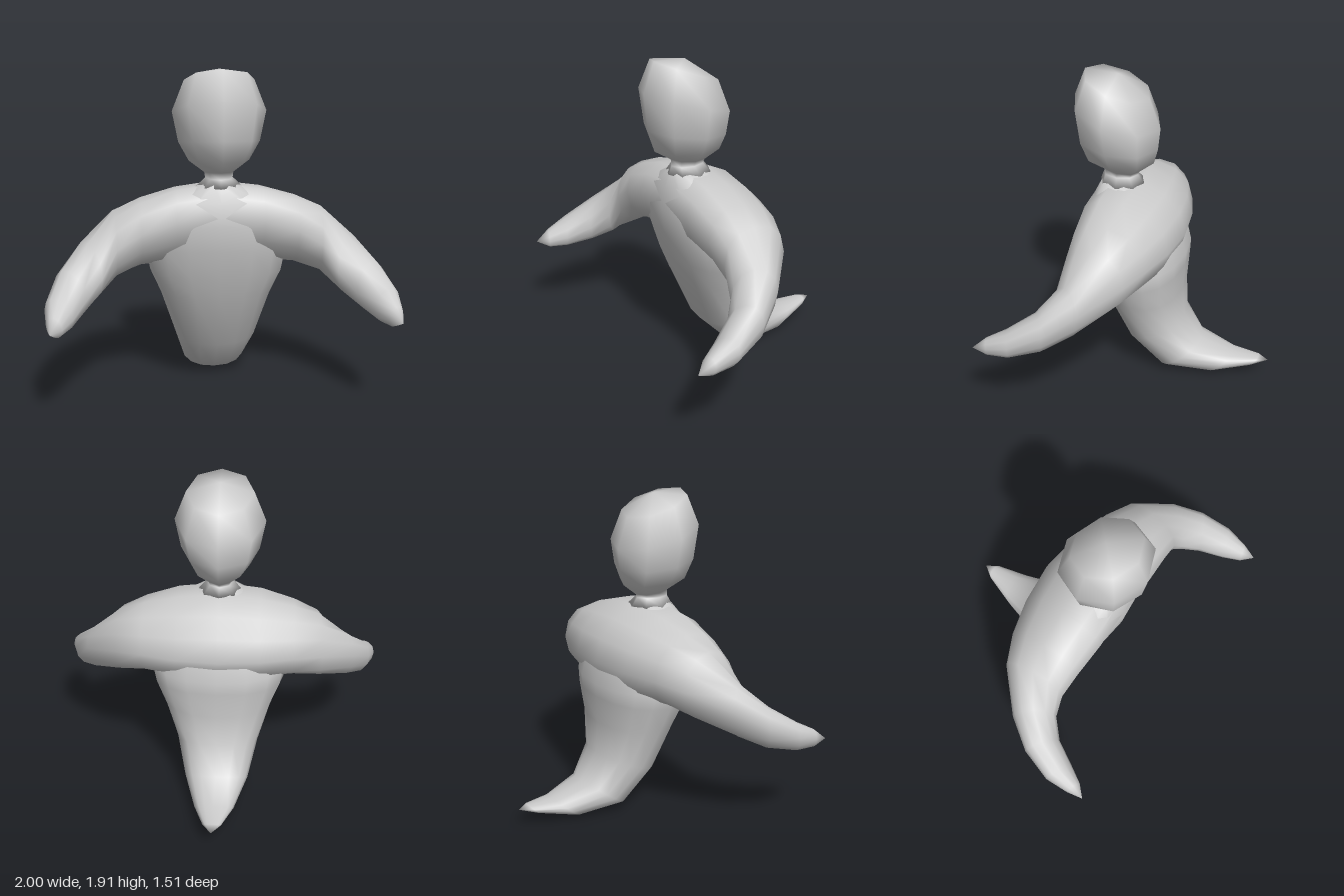
import * as THREE from 'three';

const material = new THREE.MeshStandardMaterial({ color: 0xcccccc, side: THREE.DoubleSide });
const V = (x, y, z) => new THREE.Vector3(x, y, z);
const soft = (value, power) => Math.sign(value) * Math.pow(Math.abs(value), power);

// Closed skin over rings of { c, u, v } (centre and two half axes), pointed at both ends.
function loft(name, rings, start, end, sides, power = 1) {
  const pos = [...start.toArray()];
  for (const { c, u, v } of rings) {
    for (let i = 0; i < sides; i++) {
      const t = (i / sides) * Math.PI * 2;
      const p = c.clone()
        .addScaledVector(u, soft(Math.cos(t), power))
        .addScaledVector(v, soft(Math.sin(t), power));
      pos.push(p.x, p.y, p.z);
    }
  }
  pos.push(...end.toArray());
  const last = rings.length * sides + 1;
  const at = (r, i) => 1 + r * sides + (i % sides);
  const index = [];
  for (let i = 0; i < sides; i++) {
    index.push(0, at(0, i + 1), at(0, i));
    for (let r = 0; r < rings.length - 1; r++) {
      const a = at(r, i), b = at(r, i + 1), c = at(r + 1, i), d = at(r + 1, i + 1);
      index.push(a, b, c, b, d, c);
    }
    index.push(at(rings.length - 1, i), at(rings.length - 1, i + 1), last);
  }
  const geo = new THREE.BufferGeometry();
  geo.setAttribute('position', new THREE.Float32BufferAttribute(pos, 3));
  geo.setIndex(index);
  geo.computeVertexNormals();
  const mesh = new THREE.Mesh(geo, material);
  mesh.name = name;
  return mesh;
}

// Slanted ring from its front point, back point and half width; dir is +1 upward, -1 downward.
const spineRing = (dir) => ([fz, fy, bz, by, half]) => ({
  c: V(0, (fy + by) / 2, (fz + bz) / 2),
  u: V(0, (fy - by) / 2, (fz - bz) / 2),
  v: V(dir * half, 0, 0),
});

// Arm ring from its outer and inner plan points, bottom, top and lift of the outer edge.
const armRing = ([ox, oz, ix, iz, low, high, lift]) => ({
  c: V((ox + ix) / 2, (low + high) / 2, (oz + iz) / 2),
  u: V((ix - ox) / 2, -lift, (iz - oz) / 2),
  v: V(0, (low - high) / 2, 0),
});
const mirrorRing = ({ c, u, v }) => ({ c: V(-c.x, c.y, c.z), u: V(-u.x, u.y, u.z), v: v.clone() });

export function createModel() {
  const group = new THREE.Group();
  group.name = 'ghost';

  // Head and neck: frontZ, frontY, backZ, backY, halfWidth
  const headRings = [
    [0.32, 1.24, 0.05, 1.24, 0.13],
    [0.30, 1.29, 0.09, 1.29, 0.08],
    [0.30, 1.33, 0.08, 1.31, 0.085],
    [0.41, 1.40, -0.01, 1.38, 0.175],
    [0.45, 1.53, -0.035, 1.47, 0.235],
    [0.47, 1.75, -0.05, 1.60, 0.27],
    [0.40, 1.92, 0.015, 1.78, 0.20],
  ].map(spineRing(1));
  group.add(loft('head', headRings, V(0, 1.2, 0.2), V(0, 1.91, 0.2), 8));

  // Torso running down into the backward tail
  const bodyRings = [
    [0.30, 1.26, 0.09, 1.26, 0.09],
    [0.35, 1.16, -0.10, 1.12, 0.34],
    [0.37, 1.03, -0.18, 0.95, 0.40],
    [0.355, 0.88, -0.215, 0.80, 0.42],
    [0.305, 0.71, -0.21, 0.72, 0.40],
    [0.26, 0.58, -0.20, 0.55, 0.335],
    [0.12, 0.24, -0.215, 0.36, 0.25],
    [-0.08, 0.03, -0.325, 0.20, 0.195],
    [-0.38, 0.005, -0.54, 0.14, 0.12],
    [-0.64, 0.08, -0.70, 0.14, 0.055],
  ].map(spineRing(-1));
  group.add(loft('bodyAndTail', bodyRings, V(0, 1.26, 0.2), V(0, 0.125, -0.76), 16, 0.88));

  // Shoulders and both arms as one skin, mirrored about the middle ring
  const side = [
    [0.25, -0.18, 0.25, 0.365, 0.77, 1.22, -0.06],
    [0.46, -0.12, 0.45, 0.35, 0.76, 1.165, -0.03],
    [0.63, -0.04, 0.59, 0.34, 0.71, 1.10, 0],
    [0.84, 0.16, 0.68, 0.36, 0.615, 0.93, 0.03],
    [0.95, 0.33, 0.77, 0.45, 0.55, 0.80, 0.03],
    [1.0, 0.52, 0.84, 0.59, 0.515, 0.69, 0.02],
    [0.985, 0.66, 0.895, 0.69, 0.515, 0.625, 0.01],
  ].map(armRing);
  const middle = armRing([0, -0.21, 0, 0.36, 0.77, 1.25, -0.07]);
  const armRings = [...side.map(mirrorRing).reverse(), middle, ...side];
  group.add(loft('shouldersAndArms', armRings, V(-0.96, 0.555, 0.755), V(0.96, 0.555, 0.755), 12, 0.92));

  return group;
}
